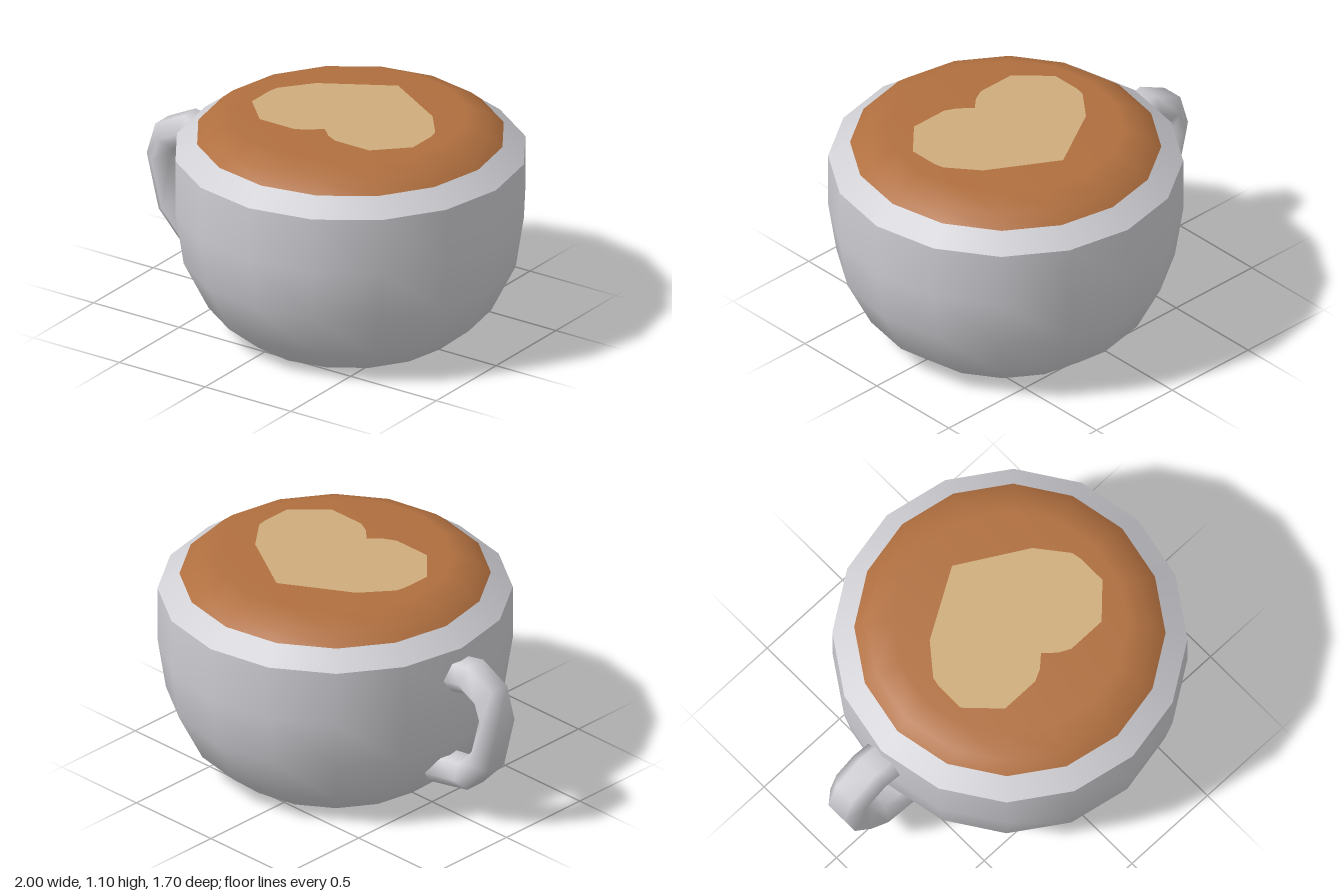
import * as THREE from 'three';

const CUP_X = 0.15; // cup axis, offset to make room for the handle
const SIDES = 16;

const china = new THREE.MeshStandardMaterial({ name: 'china grey', color: 0xcfcfd4 });
const coffeeBrown = new THREE.MeshStandardMaterial({ name: 'coffee brown', color: 0xb06f3f });
const foamCream = new THREE.MeshStandardMaterial({ name: 'foam cream', color: 0xcfad7c });

// Revolved part: smooth within one profile, creased between separate ones
function turned(name, profile, material) {
  const points = profile.map(([r, y]) => new THREE.Vector2(r, y));
  const mesh = new THREE.Mesh(new THREE.LatheGeometry(points, SIDES), material);
  mesh.name = name;
  return mesh;
}

// Hexagonal tube spanning pairs of outer and inner outline points
function handleGeometry(rings, halfWidth) {
  const positions = [], index = [], n = 6;
  for (const [ox, oy, ix, iy] of rings) {
    const cx = (ox + ix) / 2, cy = (oy + iy) / 2;
    for (let j = 0; j < n; j++) {
      const a = Math.PI / 6 + (j * Math.PI) / 3;
      const k = Math.cos(a) / Math.cos(Math.PI / 6);
      positions.push(cx + (ox - cx) * k, cy + (oy - cy) * k, halfWidth * Math.sin(a));
    }
  }
  for (let i = 0; i < rings.length - 1; i++) {
    for (let j = 0; j < n; j++) {
      const a = i * n + j, b = i * n + ((j + 1) % n);
      index.push(a, a + n, b, b, a + n, b + n);
    }
  }
  const geometry = new THREE.BufferGeometry();
  geometry.setAttribute('position', new THREE.Float32BufferAttribute(positions, 3));
  geometry.setIndex(index);
  geometry.computeVertexNormals();
  return geometry;
}

// Heart mirrored about the cup axis, tip toward the back
function heartGeometry() {
  const half = [[0, -0.4], [0.34, -0.2], [0.46, -0.05], [0.47, 0], [0.47, 0.15],
    [0.32, 0.3], [0.12, 0.3], [0.06, 0.27], [0, 0.215]];
  const mirrored = half.slice(1, -1).reverse().map(([x, z]) => [-x, z]);
  const outline = [...half, ...mirrored].map(([x, z]) => new THREE.Vector2(x, -z));
  return new THREE.ShapeGeometry(new THREE.Shape(outline)).rotateX(-Math.PI / 2);
}

export function createModel() {
  const model = new THREE.Group();
  model.name = 'coffeeCup';

  const cup = new THREE.Group();
  cup.name = 'cup';
  cup.position.x = CUP_X;
  cup.add(
    turned('base', [[0, 0], [0.52, 0]], china),
    turned('bowl', [[0.52, 0], [0.69, 0.14], [0.81, 0.38], [0.85, 0.64], [0.85, 0.92]], china),
    turned('rim', [[0.85, 0.92], [0.745, 1]], china),
    turned('coffee', [[0.745, 1], [0.685, 1.05], [0.565, 1.1], [0, 1.1]], coffeeBrown),
  );

  // Foam heart lying on the coffee
  const heart = new THREE.Mesh(heartGeometry(), foamCream);
  heart.name = 'foamHeart';
  heart.position.y = 1.103;
  cup.add(heart);
  model.add(cup);

  // Handle rings from top to bottom: outer x, y, inner x, y
  const handle = new THREE.Mesh(handleGeometry([
    [-0.69, 0.85, -0.68, 0.7],
    [-0.79, 0.87, -0.77, 0.72],
    [-0.95, 0.79, -0.84, 0.685],
    [-1, 0.625, -0.87, 0.61],
    [-0.93, 0.35, -0.82, 0.42],
    [-0.79, 0.2, -0.73, 0.32],
    [-0.53, 0.15, -0.59, 0.3],
  ], 0.11), china);
  handle.name = 'handle';
  model.add(handle);

  return model;
}
